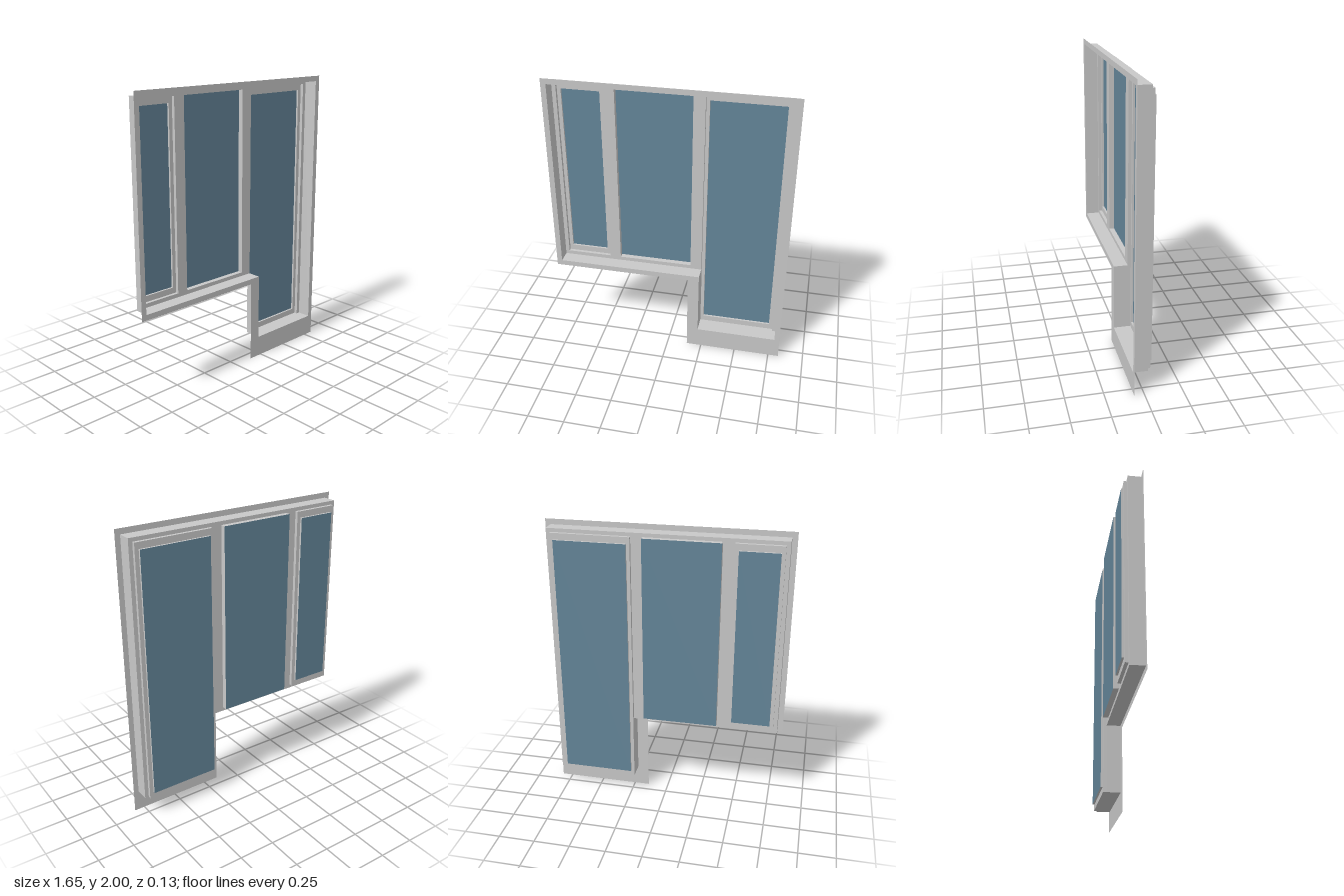
import * as THREE from 'three';

// Depths, front to back
const Z_TRIM = 0.066, Z_FRAME = -0.03, Z_SASH = -0.052, Z_GLASS = -0.066;

const rect = (x0, y0, x1, y1) => [[x0, y0], [x1, y0], [x1, y1], [x0, y1]];
const points = (outline) => outline.map(([x, y]) => new THREE.Vector2(x, y));

// Flat sheet facing the front, with optional holes
function sheet(name, material, z, outline, holes = []) {
  const shape = new THREE.Shape(points(outline));
  shape.holes = holes.map((h) => new THREE.Path(points(h)));
  const mesh = new THREE.Mesh(new THREE.ShapeGeometry(shape), material);
  mesh.position.z = z;
  mesh.name = name;
  return mesh;
}

// Open band that runs round an outline between two depths
function band(name, material, outline, zFront, zBack) {
  const positions = [];
  outline.forEach(([ax, ay], i) => {
    const [bx, by] = outline[(i + 1) % outline.length];
    positions.push(ax, ay, zFront, ax, ay, zBack, bx, by, zBack);
    positions.push(ax, ay, zFront, bx, by, zBack, bx, by, zFront);
  });
  const geometry = new THREE.BufferGeometry();
  geometry.setAttribute('position', new THREE.Float32BufferAttribute(positions, 3));
  geometry.computeVertexNormals();
  const mesh = new THREE.Mesh(geometry, material);
  mesh.name = name;
  return mesh;
}

export function createModel() {
  const grey = new THREE.MeshStandardMaterial({ color: 0xc8c8c8, side: THREE.DoubleSide });
  grey.name = 'frame grey';
  const blue = new THREE.MeshStandardMaterial({ color: 0x648599, side: THREE.DoubleSide });
  blue.name = 'glass blue';

  const model = new THREE.Group();
  model.name = 'windowAndDoor';

  // L-shaped opening and the flat trim round it
  const opening = [[-0.787, 0.618], [0.223, 0.618], [0.223, 0.147], [0.787, 0.147], [0.787, 1.963], [-0.787, 1.963]];
  const trimEdge = [[-0.823, 0.58], [0.144, 0.58], [0.144, 0], [0.823, 0], [0.823, 2], [-0.823, 2]];
  model.add(sheet('trim', grey, Z_TRIM, trimEdge, [opening]));
  model.add(band('reveal', grey, opening, Z_TRIM, Z_FRAME));

  // Openings in the frame: side window, fixed pane, door
  const side = rect(-0.76, 0.645, -0.448, 1.938);
  const fixed = rect(-0.37, 0.645, 0.144, 1.938);
  const door = rect(0.223, 0.147, 0.76, 1.938);

  // The door reaches the frame's edge, so it is cut from the outline
  const frameEdge = [[-0.787, 0.618], [0.223, 0.618], [0.223, 1.938], [0.76, 1.938],
    [0.76, 0.147], [0.787, 0.147], [0.787, 1.963], [-0.787, 1.963]];
  model.add(sheet('frame', grey, Z_FRAME, frameEdge, [side, fixed]));

  // Hinged sashes: outer rim, face, inner rim, glass
  const sashes = [
    ['sideWindow', side, rect(-0.735, 0.686, -0.474, 1.895)],
    ['door', door, rect(0.246, 0.188, 0.733, 1.895)],
  ];
  for (const [name, rim, pane] of sashes) {
    const sash = new THREE.Group();
    sash.name = name;
    sash.add(
      band('sashRim', grey, rim, Z_FRAME, Z_SASH),
      sheet('sashFace', grey, Z_SASH, rim, [pane]),
      band('glassRim', grey, pane, Z_SASH, Z_GLASS),
      sheet('glass', blue, Z_GLASS, pane),
    );
    model.add(sash);
  }

  // Fixed middle pane
  const middle = new THREE.Group();
  middle.name = 'fixedWindow';
  middle.add(band('glassRim', grey, fixed, Z_FRAME, Z_GLASS), sheet('glass', blue, Z_GLASS, fixed));
  model.add(middle);

  return model;
}
